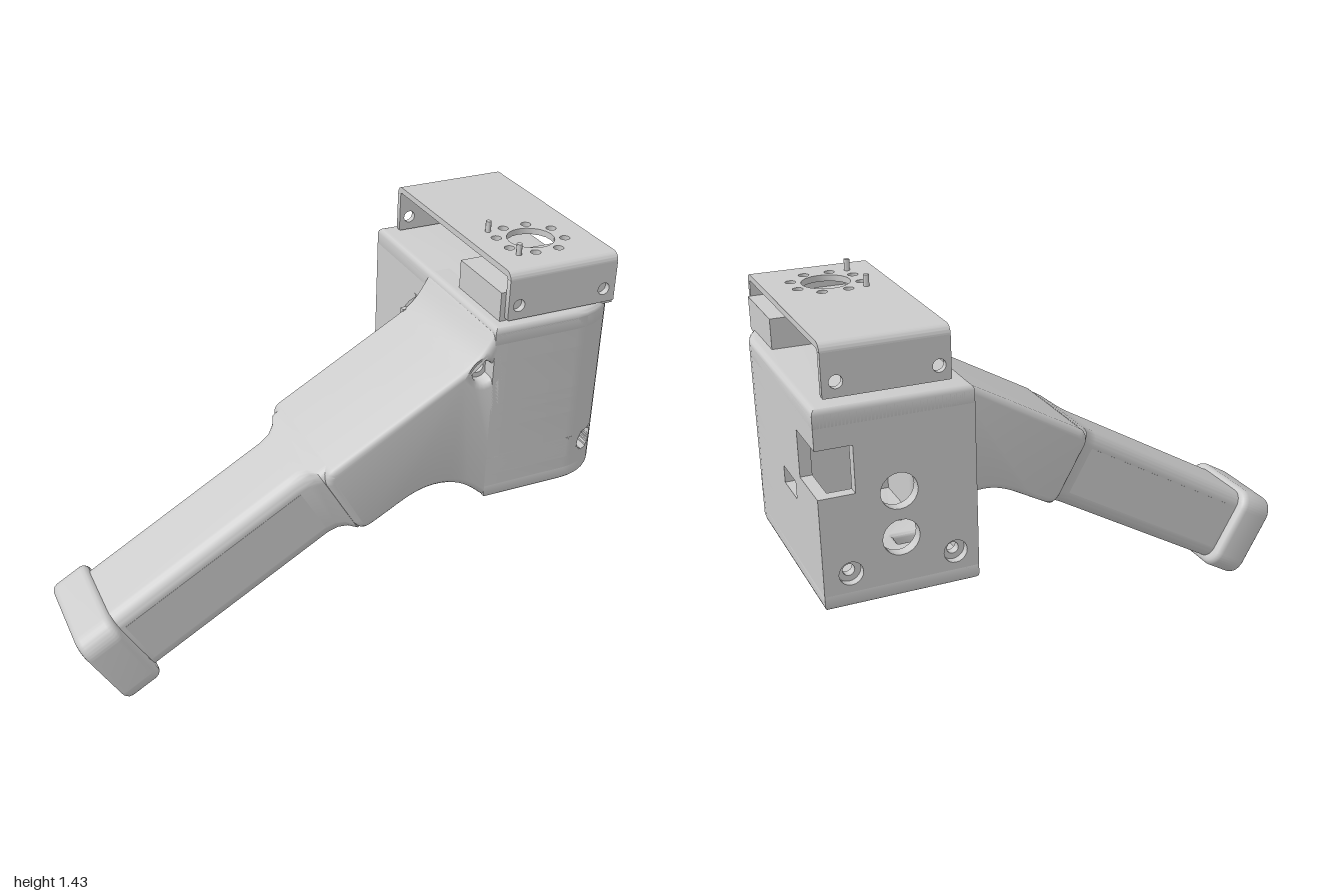
import * as THREE from 'three';
import { toCreasedNormals } from 'three/addons/utils/BufferGeometryUtils.js';

const FRONT = 0.455, BACK = -0.46, LEFT = 0.48, RIGHT = 1.0, Y0 = 0.535, Y1 = 1.212, WALL = 0.04;
const material = new THREE.MeshStandardMaterial({ color: 0xcccccc, side: THREE.DoubleSide });

function add(parent, name, geometry) {
  const mesh = new THREE.Mesh(toCreasedNormals(geometry, 0.6), material);
  mesh.name = name;
  parent.add(mesh);
  return mesh;
}

// Extrusion from z = 0 to depth whose bevel stays within the outline
function extrude(shape, depth, bevel = 0) {
  return new THREE.ExtrudeGeometry(shape, {
    depth: depth - 2 * bevel, bevelEnabled: bevel > 0, bevelThickness: bevel,
    bevelSize: bevel, bevelOffset: -bevel, bevelSegments: 3, curveSegments: 10,
  }).translate(0, 0, bevel);
}

// Extrusion of an (x, -z) plan between two heights
const slab = (shape, y0, y1, bevel) => extrude(shape, y1 - y0, bevel).rotateX(-Math.PI / 2).translate(0, y0, 0);

function roundRect(cx, cy, w, h, r) {
  const s = new THREE.Shape(), x = w / 2 - r, y = h / 2 - r, q = Math.PI / 2;
  [[1, 1], [-1, 1], [-1, -1], [1, -1]].forEach(([sx, sy], i) =>
    s.absarc(cx + sx * x, cy + sy * y, r, i * q, (i + 1) * q));
  s.closePath();
  return s;
}

function circleHole(shape, x, y, r) {
  shape.holes.push(new THREE.Path().absarc(x, y, r, 0, Math.PI * 2));
}

function box(parent, name, x0, x1, y0, y1, z0, z1) {
  add(parent, name, new THREE.BoxGeometry(x1 - x0, y1 - y0, z1 - z0)
    .translate((x0 + x1) / 2, (y0 + y1) / 2, (z0 + z1) / 2));
}

// Rounded front right corner, optionally with a screw recess of half width w
function cornerPoints(w) {
  const r = 0.2, pts = [];
  const arc = (a, b) => {
    for (let i = 0; i <= 8; i++) {
      const t = a + (b - a) * i / 8;
      pts.push([0.8 + r * Math.cos(t), FRONT - r + r * Math.sin(t)]);
    }
  };
  if (!w) arc(Math.PI / 2, 0);
  else {
    arc(Math.PI / 2, Math.acos((0.1 - w) / r));
    pts.push([0.9 - w, 0.3], [0.9 + w, 0.3]);
    arc(Math.acos((0.1 + w) / r), 0);
  }
  return pts;
}

const plan = (pts) => new THREE.Shape(pts.map(([x, z]) => new THREE.Vector2(x, -z)));

// Surface through rounded rectangles [s, n0, n1, z0, z1, r] along local x
function loft(sections) {
  const pos = [], index = [];
  let n = 0;
  sections.forEach(([s, n0, n1, z0, z1, r], i) => {
    const ring = roundRect((n0 + n1) / 2, (z0 + z1) / 2, n1 - n0, z1 - z0, r).getPoints(6);
    n = ring.length;
    ring.forEach((p) => pos.push(s, p.x, p.y));
    if (i) for (let j = 0; j < n; j++) {
      const a = (i - 1) * n + j, b = (i - 1) * n + (j + 1) % n;
      index.push(a, b, a + n, b, b + n, a + n);
    }
  });
  const g = new THREE.BufferGeometry();
  g.setAttribute('position', new THREE.Float32BufferAttribute(pos, 3));
  g.setIndex(index);
  return g;
}

function buildHousing() {
  const housing = new THREE.Group();
  housing.name = 'housing';
  const back = BACK + WALL;
  const footprint = () => plan([[LEFT, BACK], [LEFT, FRONT], ...cornerPoints(0), [RIGHT, BACK]]);

  // Wall bands, open to the back; zr and zl are where the side walls end
  const band = (y0, y1, { w = 0, zr = back, zl = back } = {}) => add(housing, 'wallBand', slab(plan([
    [LEFT, zl], [LEFT, FRONT], ...cornerPoints(w), [RIGHT, zr], [RIGHT - WALL, zr],
    [RIGHT - WALL, 0.2], [LEFT + WALL, 0.2], [LEFT + WALL, zl]]), y0, y1));
  band(0.555, 0.63);
  for (let i = 0; i < 12; i++) {
    const t = (i + 0.5) / 6 - 1, h = 0.08 / 12;
    band(0.63 + i * h, 0.63 + (i + 1) * h, { w: 0.04 * Math.sqrt(1 - t * t) });
  }
  band(0.71, 0.82);
  band(0.82, 0.88, { zr: -0.07, zl: -0.07 });
  for (const x of [LEFT, RIGHT - WALL]) box(housing, 'slotWall', x, x + WALL, 0.82, 0.88, back, -0.21);
  band(0.88, 0.92);
  band(0.92, 1.08, { zr: -0.27 });
  band(1.08, Y1 - 0.02);

  // Floor with three slots, and roof
  const floor = footprint();
  for (const [x, z, w, d] of [[0.77, 0.05, 0.07, 0.06], [0.62, -0.2, 0.11, 0.06], [0.58, -0.03, 0.07, 0.06]]) {
    floor.holes.push(new THREE.Path(roundRect(x, -z, w, d, 0.003).getPoints(2)));
  }
  add(housing, 'floor', slab(floor, Y0, 0.6, 0.015));
  add(housing, 'roof', slab(footprint(), 1.13, Y1, 0.02));

  // Back plate with corner cutout, round ports and screw recesses
  const plate = new THREE.Shape([[LEFT, 0.55], [RIGHT, 0.55], [RIGHT, 0.92], [0.88, 0.92], [0.88, 1.08],
    [RIGHT, 1.08], [RIGHT, Y1 - 0.02], [LEFT, Y1 - 0.02]].map((p) => new THREE.Vector2(...p)));
  circleHole(plate, 0.74, 0.9, 0.062);
  circleHole(plate, 0.74, 0.74, 0.062);
  for (const x of [0.91, 0.56]) {
    circleHole(plate, x, 0.65, 0.04);
    const ring = new THREE.Shape().absarc(x, 0.65, 0.045, 0, Math.PI * 2);
    circleHole(ring, x, 0.65, 0.02);
    add(housing, 'screwSeat', extrude(ring, 0.03).translate(0, 0, back - 0.012));
  }
  add(housing, 'backPlate', extrude(plate, WALL).translate(0, 0, BACK));
  return housing;
}

function buildArm() {
  const arm = new THREE.Group();
  arm.name = 'arm';
  const s = new THREE.Shape();
  s.moveTo(0.56, Y0);
  s.lineTo(0.49, Y0);
  s.bezierCurveTo(0.43, 0.59, 0.38, 0.64, 0.28, 0.637);
  s.bezierCurveTo(0.2, 0.635, 0.14, 0.585, 0.04, 0.535);
  s.quadraticCurveTo(0.0, 0.52, -0.02, 0.56);
  s.lineTo(-0.12, 0.735);
  s.quadraticCurveTo(-0.135, 0.78, -0.1, 0.8);
  s.lineTo(0.36, 1.06);
  s.bezierCurveTo(0.43, 1.1, 0.45, 1.14, 0.485, 1.2);
  s.lineTo(0.5, Y1);
  s.lineTo(0.56, Y1);
  s.closePath();
  circleHole(s, 0.45, 1.05, 0.04);
  add(arm, 'armBody', extrude(s, FRONT + 0.05, 0.022).translate(0, 0, -0.05));
  const seat = new THREE.Shape().absarc(0.45, 1.05, 0.045, 0, Math.PI * 2);
  circleHole(seat, 0.45, 1.05, 0.022);
  add(arm, 'screwSeat', extrude(seat, 0.42).translate(0, 0, -0.02));

  // Concave fillet between the arm and the housing, split by the slot
  const f = new THREE.Shape();
  f.moveTo(0.38, 0.03);
  f.lineTo(0.5, 0.03);
  f.lineTo(0.5, 0.15);
  f.lineTo(0.48, 0.15);
  f.absarc(0.38, 0.15, 0.1, 0, -Math.PI / 2, true);
  f.closePath();
  for (const [a, b] of [[0.6, 0.82], [0.88, 1.08]]) add(arm, 'fillet', slab(f, a, b));
  return arm;
}

// Handle in its own frame: x along the handle, y across it
function buildHandle() {
  const handle = new THREE.Group();
  handle.name = 'handle';
  handle.rotation.z = Math.PI / 6;
  add(handle, 'grip', loft([
    [-0.64, 0.438, 0.735, 0.04, 0.372, 0.055], [0.17, 0.438, 0.735, 0.04, 0.372, 0.055],
    [0.21, 0.436, 0.737, 0.032, 0.38, 0.055], [0.24, 0.435, 0.74, 0.01, 0.4, 0.05],
    [0.262, 0.435, 0.742, -0.025, 0.432, 0.04], [0.3, 0.435, 0.742, -0.03, 0.438, 0.04]]));
  box(handle, 'gripEnd', -0.66, -0.61, 0.47, 0.7, 0.08, 0.33);
  for (const z of [0.039, 0.369]) box(handle, 'gripPanel', -0.57, 0.19, 0.493, 0.68, z, z + 0.004);
  const cap = roundRect(-0.21, 0.585, 0.42, 0.34, 0.07);
  cap.holes.push(new THREE.Path(roundRect(-0.21, 0.585, 0.11, 0.11, 0.005).getPoints(2)));
  add(handle, 'endCap', extrude(cap, 0.15, 0.025).rotateY(Math.PI / 2).translate(-0.735, 0, 0));
  return handle;
}

function buildBracket() {
  const bracket = new THREE.Group();
  bracket.name = 'bracket';
  const x0 = 0.535, x1 = 0.95, top = 1.395, r = 0.03, t = 0.022, zf = 0.43, zb = -0.41;
  // Top plate with a centre port and a ring of holes
  const plate = plan([[x0, zb + r], [x0, zf - r], [x1, zf - r], [x1, zb + r]]);
  circleHole(plate, 0.74, -0.205, 0.083);
  for (let i = 0; i < 8; i++) {
    const a = (i + 0.5) * Math.PI / 4;
    circleHole(plate, 0.74 + 0.118 * Math.cos(a), -0.205 + 0.118 * Math.sin(a), 0.018);
  }
  add(bracket, 'topPlate', slab(plate, top - t, top));
  // Legs with screw holes, and the bends above them
  for (const [side, z] of [[1, zf], [-1, zb]]) {
    const leg = roundRect((x0 + x1) / 2, (1.22 + top - r) / 2, x1 - x0, top - r - 1.22, 0.004);
    for (const x of [0.575, 0.905]) circleHole(leg, x, 1.27, 0.022);
    add(bracket, 'leg', extrude(leg, t).translate(0, 0, side > 0 ? z - t : z));
    const bend = new THREE.Shape(), a = side > 0 ? 0 : Math.PI / 2;
    bend.absarc(z - side * r, top - r, r, a, a + Math.PI / 2);
    bend.absarc(z - side * r, top - r, r - t, a + Math.PI / 2, a, true);
    bend.closePath();
    add(bracket, 'bend', extrude(bend, x1 - x0).rotateY(-Math.PI / 2).translate(x1, 0, 0));
  }
  for (const z of [0.1, 0.31]) {
    add(bracket, 'pin', new THREE.CylinderGeometry(0.01, 0.01, 0.115, 12).translate(0.632, 1.377, z));
  }
  return bracket;
}

export function createModel() {
  const model = new THREE.Group();
  model.name = 'handheldDevice';
  model.add(buildHousing(), buildArm(), buildHandle(), buildBracket());
  // Motor block under the bracket
  box(model, 'motorBlock', 0.517, 0.96, 1.2, 1.317, 0.125, 0.408);
  return model;
}
